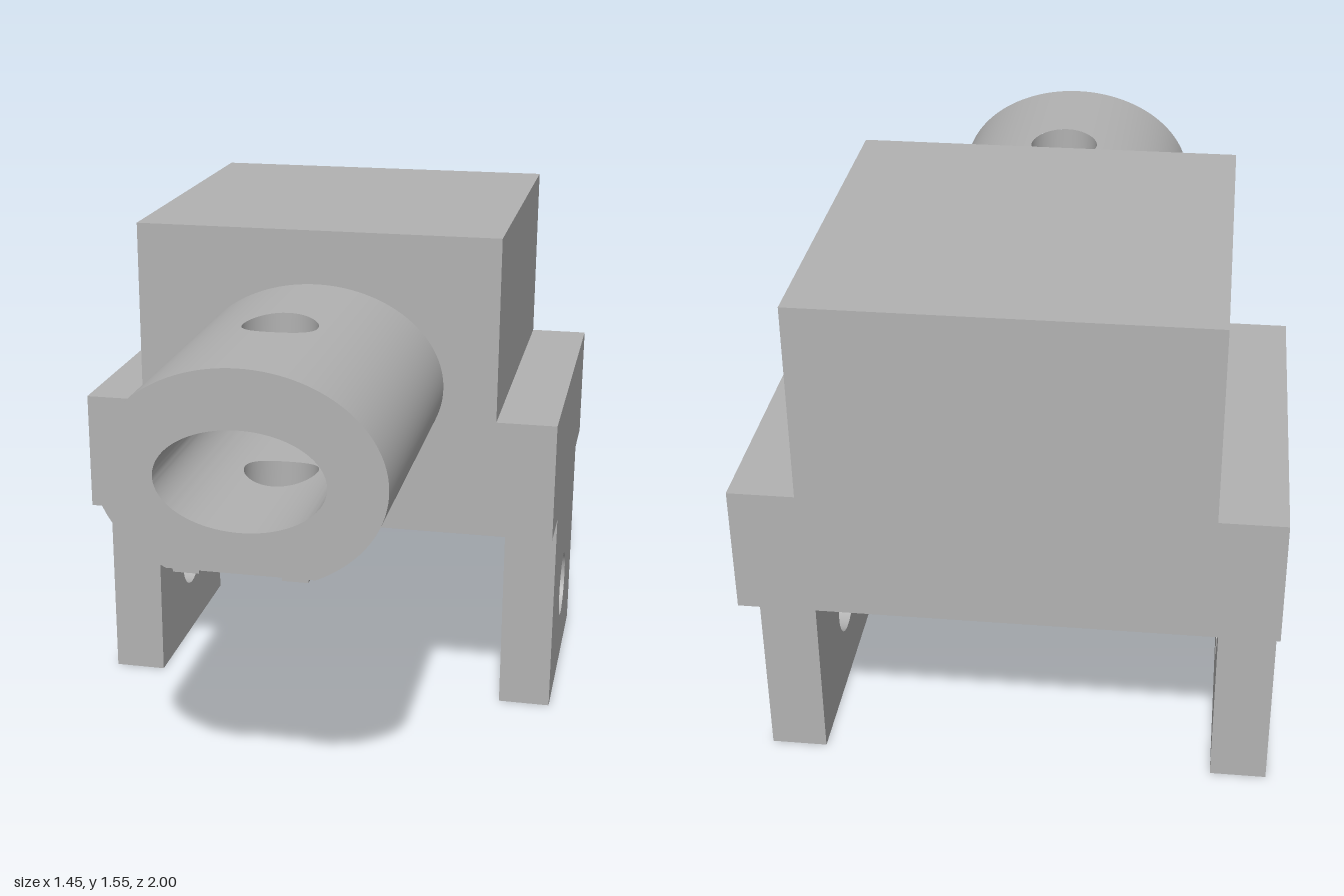
import * as THREE from 'three';
import { toCreasedNormals } from 'three/addons/utils/BufferGeometryUtils.js';

const Z0 = 0.09, Z1 = 1;             // tube start and end
const HOLE_R = 0.105, HOLE_Z = 0.54; // vertical pin hole in the tube

const half = (x, rx, ry) => ry * Math.sqrt(Math.max(0, 1 - (x / rx) ** 2));
const outerTop = x => 1.095 + half(x, 0.385, 0.295);
const innerTop = x => 1.092 + half(x, 0.228, 0.137);
const innerBottom = x => 1.092 - half(x, 0.228, 0.137);
// underside is cut flat, with two shallow rails
function outerBottom(x) {
  const a = Math.abs(x);
  if (a < 0.11) return 0.842;
  if (a < 0.18) return 0.833;
  return Math.max(0.842, 1.095 - half(x, 0.385, 0.295));
}

// x stations of a section, always including those of the pin hole
function stations(rx, extra) {
  const xs = [];
  for (let i = 0; i <= 64; i++) xs.push(rx * Math.cos((i / 64) * Math.PI));
  for (let i = 0; i <= 20; i++) xs.push(HOLE_R * Math.cos((i / 20) * Math.PI));
  for (const e of extra) xs.push(e, -e);
  return xs.sort((a, b) => a - b).filter((x, i, all) => i === 0 || x - all[i - 1] > 1e-6);
}

// closed section, clockwise seen from the front
function section(xs, top, bottom) {
  return [...xs.map(x => [x, top(x)]), ...xs.slice(1, -1).reverse().map(x => [x, bottom(x)])];
}

function tubeGeometry() {
  const pos = [];
  const quad = (a, b, c, d) => pos.push(...a, ...b, ...c, ...a, ...c, ...d);
  const chord = x => Math.sqrt(Math.max(0, HOLE_R ** 2 - x * x));

  // wall swept along z, leaving the pin hole open
  const sweep = loop => loop.forEach(([xa, ya], i) => {
    const [xb, yb] = loop[(i + 1) % loop.length];
    const strip = (na, nb, fa, fb) =>
      quad([xa, ya, fa], [xb, yb, fb], [xb, yb, nb], [xa, ya, na]);
    if (Math.abs(xa + xb) / 2 < HOLE_R) {
      strip(Z0, Z0, HOLE_Z - chord(xa), HOLE_Z - chord(xb));
      strip(HOLE_Z + chord(xa), HOLE_Z + chord(xb), Z1, Z1);
    } else strip(Z0, Z0, Z1, Z1);
  });
  const outer = section(stations(0.385, [0.1095, 0.1105, 0.1795, 0.1805, 0.2]), outerTop, outerBottom);
  const inner = section(stations(0.228, []), innerTop, innerBottom);
  sweep(outer);
  sweep([...inner].reverse());

  // sides of the pin hole through the upper and lower wall
  for (const [low, high] of [[innerTop, outerTop], [outerBottom, innerBottom]]) {
    for (let i = 0; i < 40; i++) {
      const [p, q] = [i, i + 1].map(k => {
        const t = (k / 20) * Math.PI;
        return [HOLE_R * Math.cos(t), HOLE_Z + HOLE_R * Math.sin(t)];
      });
      quad([p[0], low(p[0]), p[1]], [q[0], low(q[0]), q[1]],
        [q[0], high(q[0]), q[1]], [p[0], high(p[0]), p[1]]);
    }
  }

  const geo = new THREE.BufferGeometry();
  geo.setAttribute('position', new THREE.Float32BufferAttribute(pos, 3));

  // ring-shaped front end
  const ring = new THREE.Shape(outer.map(p => new THREE.Vector2(...p)));
  ring.holes.push(new THREE.Path(inner.map(p => new THREE.Vector2(...p))));
  return [toCreasedNormals(geo, 0.5), new THREE.ShapeGeometry(ring).translate(0, 0, Z1)];
}

export function createModel() {
  const model = new THREE.Group();
  model.name = 'tubeBracket';
  const grey = new THREE.MeshStandardMaterial({ color: 0xb2b2b2 });
  grey.name = 'grey';
  const add = (name, geometry) => {
    const mesh = new THREE.Mesh(geometry, grey);
    mesh.name = name;
    model.add(mesh);
    return mesh;
  };

  // stepped block
  const block = new THREE.Shape([
    [-0.725, 0.64], [0.725, 0.64], [0.725, 1], [0.545, 1],
    [0.545, 1.55], [-0.545, 1.55], [-0.545, 1], [-0.725, 1],
  ].map(p => new THREE.Vector2(...p)));
  add('steppedBlock', new THREE.ExtrudeGeometry(block, { depth: 1.09, bevelEnabled: false })
    .translate(0, 0, -1));

  // side lugs with a cross hole, drawn in the z-y plane and extruded along x
  const lug = new THREE.Shape([
    [0.09, 0], [0.81, 0], [0.81, 0.64], [0.09, 0.64],
  ].map(p => new THREE.Vector2(...p)));
  lug.holes.push(new THREE.Path().absarc(0.45, 0.275, 0.105, 0, Math.PI * 2, true));
  const lugGeometry = toCreasedNormals(new THREE.ExtrudeGeometry(lug,
    { depth: 0.16, bevelEnabled: false, curveSegments: 24 }).rotateY(Math.PI / 2), 0.5);
  add('leftLug', lugGeometry).position.x = 0.565;
  add('rightLug', lugGeometry).position.x = -0.725;

  // hollow oval tube
  const [wall, end] = tubeGeometry();
  add('tubeWall', wall);
  add('tubeEnd', end);
  return model;
}
